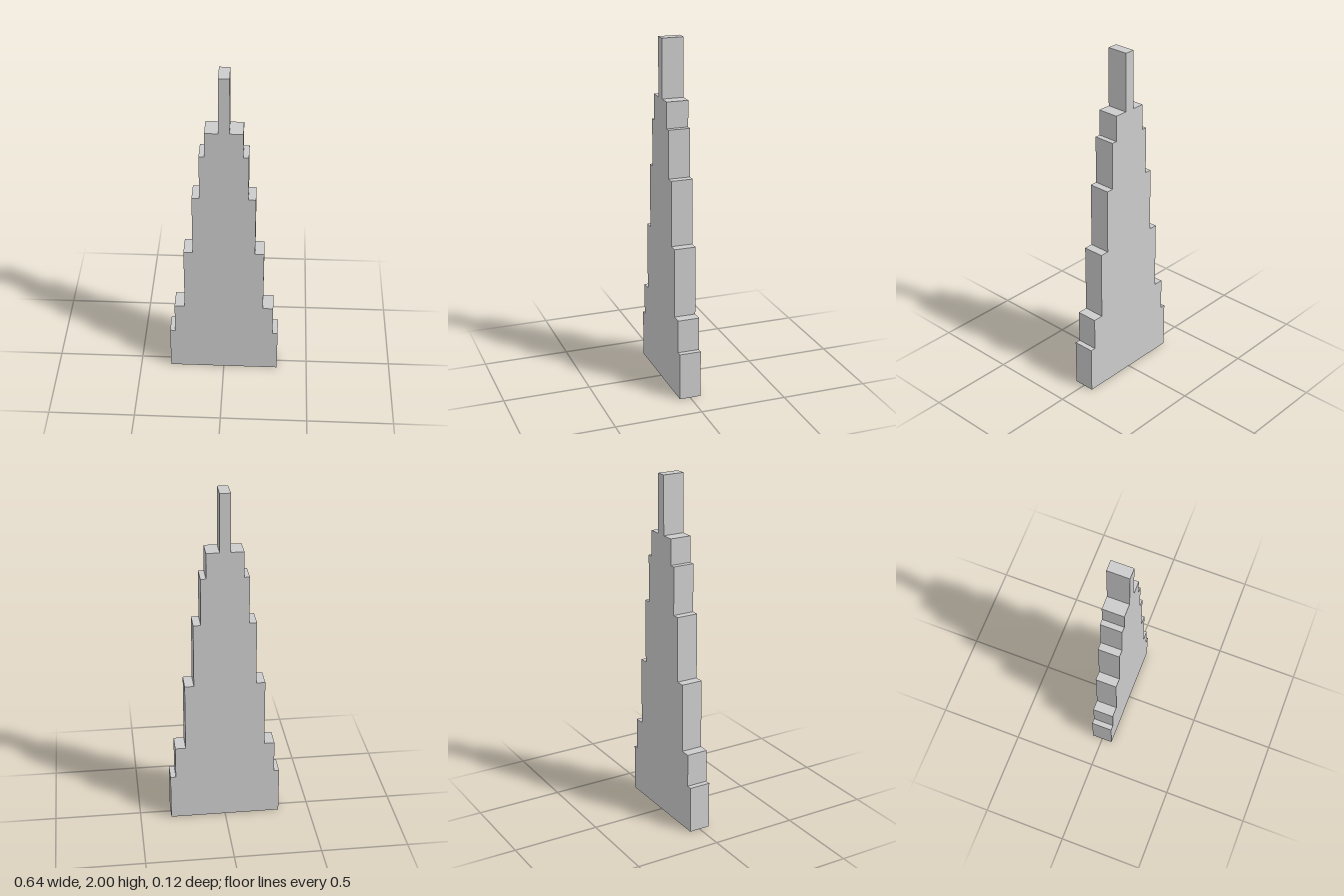
import * as THREE from 'three';

// Tiers from the ground up: [half width, height of the tier's top]
const TIERS = [
  [0.32, 0.275], [0.289, 0.467], [0.229, 0.868], [0.177, 1.245],
  [0.135, 1.52], [0.104, 1.668], [0.03, 2],
];
const DEPTH = 0.124;

export function createModel() {
  const group = new THREE.Group();
  group.name = 'steppedTower';

  // Right-hand stair outline, then mirrored back down the other side
  const stairs = [];
  let y = 0;
  for (const [halfWidth, top] of TIERS) {
    stairs.push(new THREE.Vector2(halfWidth, y), new THREE.Vector2(halfWidth, top));
    y = top;
  }
  const mirrored = stairs.map((p) => new THREE.Vector2(-p.x, p.y)).reverse();

  // Solid slab with flat front and back
  const geometry = new THREE.ExtrudeGeometry(
    new THREE.Shape([...stairs, ...mirrored]),
    { depth: DEPTH, bevelEnabled: false },
  );
  geometry.translate(0, 0, -DEPTH / 2);

  const tower = new THREE.Mesh(
    geometry,
    new THREE.MeshStandardMaterial({ color: 0xcccccc, flatShading: true }),
  );
  tower.name = 'towerSlab';
  group.add(tower);
  return group;
}
